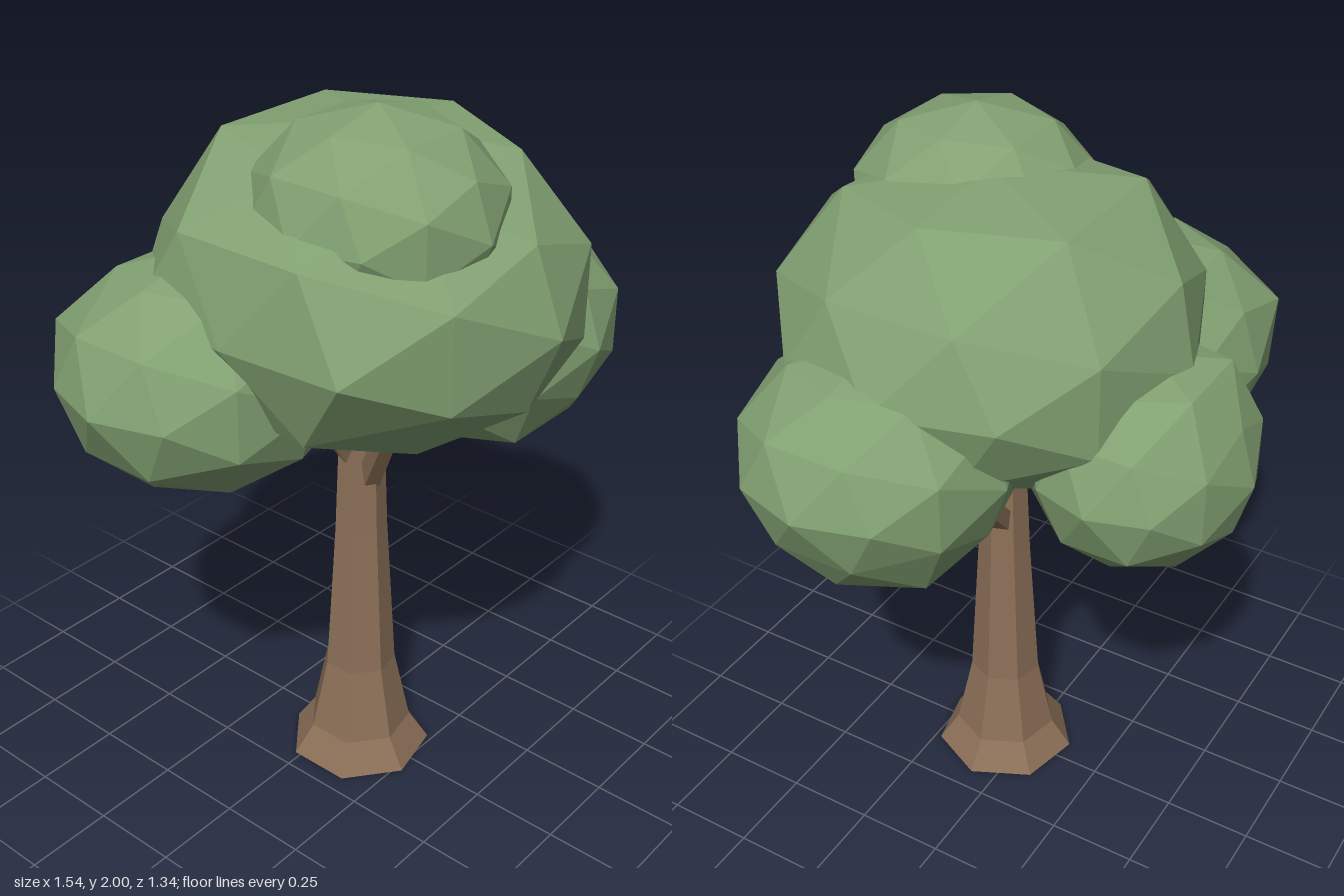
import * as THREE from 'three';

export function createModel() {
  const tree = new THREE.Group();
  tree.name = 'tree';
  const bark = new THREE.MeshStandardMaterial({ color: 0x8c7058 });
  bark.name = 'brown bark';
  bark.flatShading = true;
  const leaves = new THREE.MeshStandardMaterial({ color: 0x82a172 });
  leaves.name = 'leaf green';
  leaves.flatShading = true;

  const add = (name, geometry, material) => {
    const mesh = new THREE.Mesh(geometry, material);
    mesh.name = name;
    tree.add(mesh);
    return mesh;
  };

  // Seven-sided trunk with flared root, closed at both ends
  const profile = [[0, 0], [0.205, 0], [0.148, 0.085], [0.102, 0.3], [0.075, 0.75], [0.063, 1.08], [0, 1.08]]
    .map(([r, y]) => new THREE.Vector2(r, y));
  const trunk = add('trunk', new THREE.LatheGeometry(profile, 7, Math.PI / 2), bark);
  trunk.position.set(-0.015, 0, 0.072);

  // Tapered branches reaching into the foliage
  const branch = (name, from, to, r0, r1) => {
    const a = new THREE.Vector3(...from);
    const b = new THREE.Vector3(...to);
    const direction = b.clone().sub(a);
    const mesh = add(name, new THREE.CylinderGeometry(r1, r0, direction.length(), 5), bark);
    mesh.position.copy(a).add(b).multiplyScalar(0.5);
    mesh.quaternion.setFromUnitVectors(new THREE.Vector3(0, 1, 0), direction.normalize());
  };
  branch('leftBranch', [0.02, 0.86, 0.06], [0.26, 1.12, 0.03], 0.04, 0.032);
  branch('frontBranch', [-0.015, 0.9, 0.1], [-0.115, 1.2, 0.27], 0.037, 0.03);
  branch('rightBranch', [-0.03, 0.96, 0.06], [-0.2, 1.2, 0.06], 0.035, 0.028);

  // Faceted leaf clusters. Each bump scales the corners that lie within a
  // cosine limit of a direction; floor flattens the underside.
  const cluster = (name, centre, radii, { floor = 0, bumps = [] } = {}) => {
    const geometry = new THREE.IcosahedronGeometry(1, 1);
    const p = geometry.attributes.position;
    const origin = new THREE.Vector3(...centre);
    const size = new THREE.Vector3(...radii);
    const v = new THREE.Vector3();
    for (let i = 0; i < p.count; i++) {
      v.fromBufferAttribute(p, i);
      let scale = 1;
      for (const [direction, amount, limit = 0.95] of bumps) {
        if (v.dot(new THREE.Vector3(...direction)) > limit) scale = amount;
      }
      v.multiply(size).multiplyScalar(scale).add(origin);
      p.setXYZ(i, v.x, Math.max(v.y, floor), v.z);
    }
    geometry.computeVertexNormals();
    add(name, geometry, leaves);
  };
  cluster('mainFoliage', [0, 1.49, 0.095], [0.56, 0.415, 0.575], {
    floor: 1.09,
    bumps: [
      [[-0.85, 0, 0.526], 1.13],
      [[-0.85, 0, -0.526], 1.08],
      [[-0.809, 0.5, 0.309], 1.12],
      [[-0.809, 0.5, -0.309], 1.08],
      [[-0.809, -0.5, 0.309], 1.06],
      [[0.526, 0.85, 0], 1.09],
      [[0.309, 0.809, 0.5], 1.07],
      [[0.309, 0.809, -0.5], 1.13],
      [[-0.309, 0.809, -0.5], 1.13],
      [[0, 0.526, -0.85], 1.08],
    ],
  });
  cluster('topFoliage', [-0.125, 1.735, 0.21], [0.32, 0.265, 0.335]);
  cluster('leftFoliage', [0.39, 1.28, 0.18], [0.38, 0.3, 0.365], {
    floor: 0.995,
    bumps: [[[0, -1, 0], 1.14, 0.8]],
  });
  cluster('rightFoliage', [-0.36, 1.31, -0.14], [0.41, 0.315, 0.365], {
    floor: 0.99,
    bumps: [[[-0.5, 0.309, -0.809], 1.08], [[-0.5, -0.309, -0.809], 1.05]],
  });
  cluster('backFoliage', [0.02, 1.235, -0.37], [0.33, 0.295, 0.3], {
    bumps: [[[0.309, 0.809, -0.5], 1.12], [[-0.309, 0.809, -0.5], 1.12]],
  });

  return tree;
}
